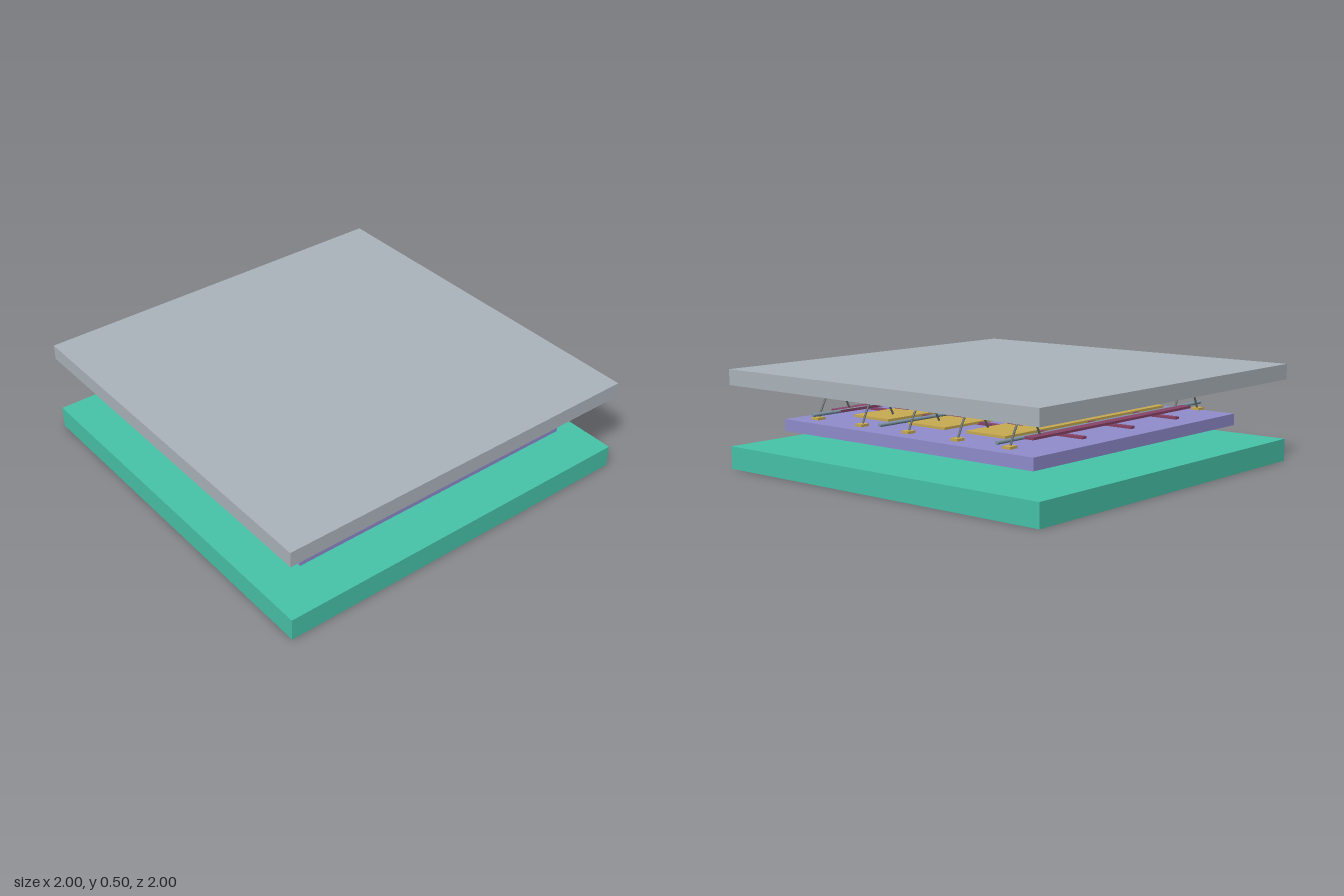
import * as THREE from 'three';

export function createModel() {
  const model = new THREE.Group();
  const paint = (name, color) => Object.assign(new THREE.MeshStandardMaterial({ color }), { name });
  const teal = paint('teal', 0x48c4aa);
  const violet = paint('violet', 0x908dcd);
  const grey = paint('light grey', 0xadb5bd);
  const gold = paint('gold', 0xc9ac52);
  const plum = paint('plum', 0x8a4468);
  const steel = paint('steel blue', 0x7f97a8);
  const wireGrey = paint('wire grey', 0x626b69);

  function add(name, geometry, material, x, y, z) {
    const mesh = new THREE.Mesh(geometry, material);
    mesh.name = name;
    mesh.position.set(x, y, z);
    model.add(mesh);
    return mesh;
  }
  // Box given by its bottom and top heights
  const slab = (name, material, w, d, y0, y1, x = 0, z = 0) =>
    add(name, new THREE.BoxGeometry(w, y1 - y0, d), material, x, (y0 + y1) / 2, z);

  // Stacked plates
  slab('basePlate', teal, 2, 2, 0, 0.115);
  slab('chipPlate', violet, 1.62, 1.62, 0.19, 0.25);
  slab('coverPlate', grey, 2, 2, 0.425, 0.505);

  // Conductor grid: lengthwise traces, cross bars and rods
  for (const x of [-0.375, 0, 0.375]) slab('lengthTrace', plum, 0.03, 1.5, 0.267, 0.279, x);
  for (const z of [-0.375, 0, 0.375]) slab('crossTrace', gold, 1.26, 0.24, 0.272, 0.284, 0, z);
  for (const z of [-0.625, 0.625]) slab('crossBar', plum, 1.26, 0.07, 0.284, 0.296, 0, z);
  for (const z of [-0.6, 0.13, 0.6]) {
    const rod = add('crossRod', new THREE.CylinderGeometry(0.009, 0.009, 1.62, 12), steel, 0, 0.29, z);
    rod.rotation.z = Math.PI / 2;
  }

  // Raised contact pads
  for (const x of [-0.375, 0, 0.375])
    for (const z of [-0.375, 0, 0.375]) slab('contactPad', plum, 0.095, 0.095, 0.299, 0.309, x, z);

  // Arched bond wires with their landing pads on both sides
  for (const side of [-1, 1]) {
    for (const z of [-0.625, -0.3125, 0, 0.3125, 0.625]) {
      const points = [[0.745, 0.272], [0.71, 0.345], [0.675, 0.39], [0.638, 0.402], [0.6, 0.388], [0.57, 0.35], [0.54, 0.295]]
        .map(([x, y]) => new THREE.Vector3(side * x, y, 0));
      const arch = new THREE.TubeGeometry(new THREE.CatmullRomCurve3(points), 24, 0.005, 8);
      add('bondWire', arch, wireGrey, 0, 0, z);
      slab('bondPad', gold, 0.05, 0.045, 0.26, 0.272, side * 0.75, z);
    }
  }
  return model;
}
